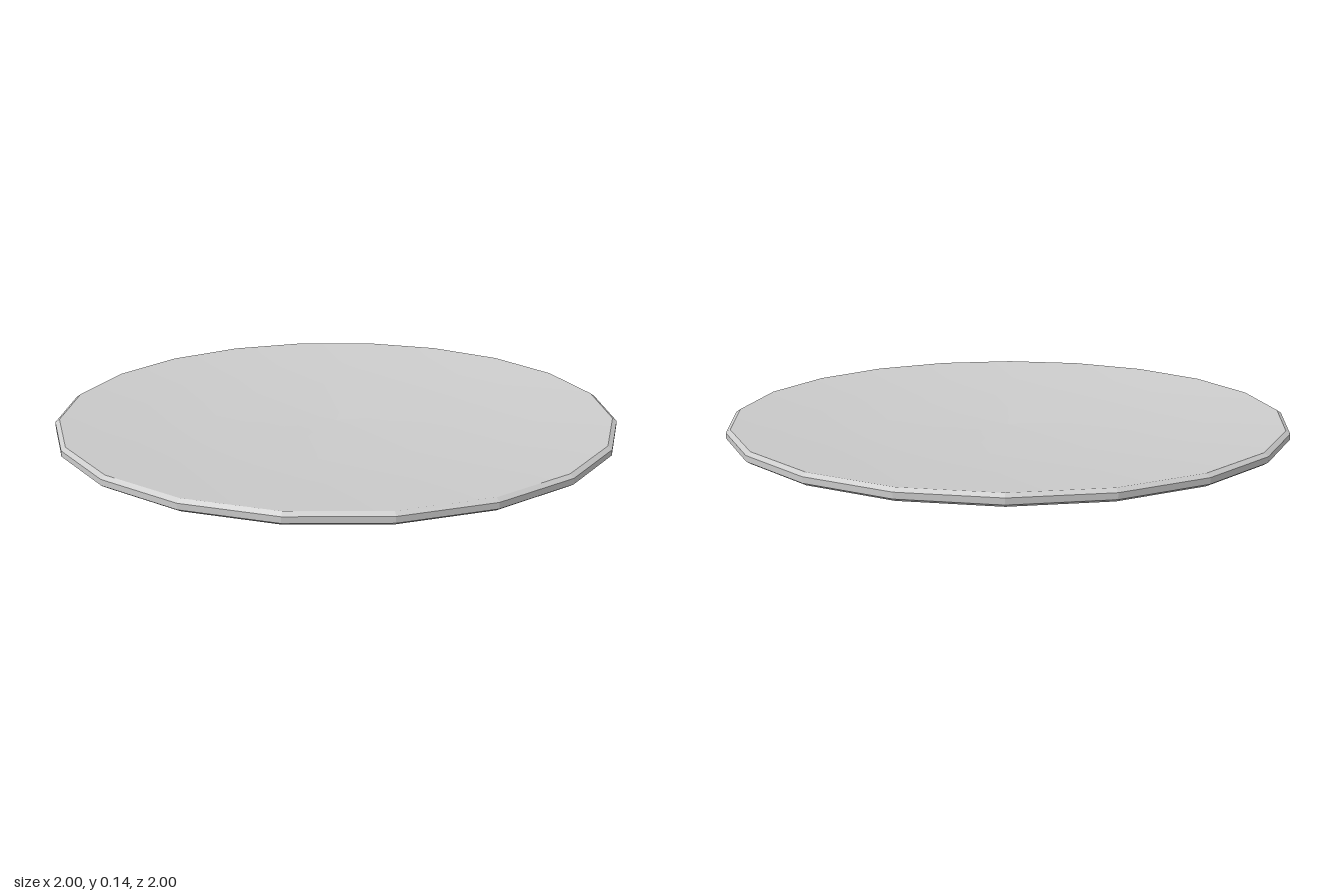
import * as THREE from 'three';

const SIDES = 20;

// Revolve a profile of [radius, height] pairs, listed from underside to top
function turned(name, profile, flatShading) {
  const points = profile.map(([r, y]) => new THREE.Vector2(r, y));
  const material = new THREE.MeshStandardMaterial({ color: 0xcccccc, flatShading });
  const mesh = new THREE.Mesh(new THREE.LatheGeometry(points, SIDES), material);
  mesh.name = name;
  return mesh;
}

export function createModel() {
  const plate = new THREE.Group();
  plate.name = 'plate';

  plate.add(
    // Foot with a chamfered lower edge
    turned('foot', [[0, 0], [0.44, 0], [0.47, 0.025], [0.465, 0.062]], true),
    // Shallow conical underside
    turned('underside', [[0.465, 0.06], [0.985, 0.1]], false),
    // Rim, bevelled above and below
    turned('rim', [[0.985, 0.1], [1, 0.11], [1, 0.13], [0.985, 0.14]], true),
    // Gently dished eating surface
    turned('dish', [[0.985, 0.14], [0.72, 0.115], [0.45, 0.097], [0, 0.085]], false),
  );
  return plate;
}
